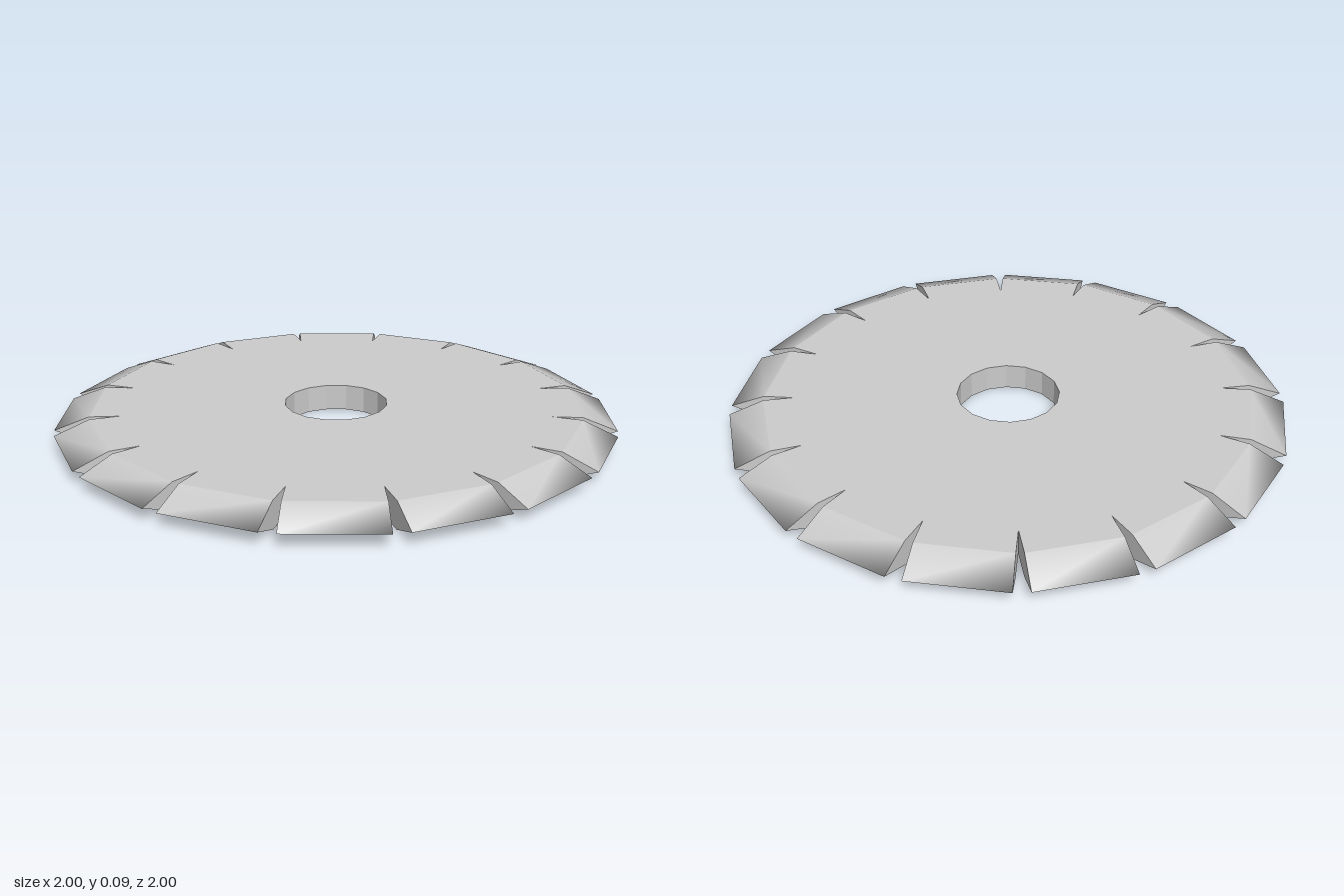
import * as THREE from 'three';

const TEETH = 16, H = 0.095, HOLE = 0.185;
const APEX = 0.77, EDGE = 0.877, RIM = 1, SLOT = 0.028; // slot tip, bevel start, rim radius, slot half width

// Point beside slot k at radius r; side is -1, 0 or +1
function at(k, r, side) {
  const a = (k / TEETH) * Math.PI * 2;
  const w = side * SLOT * (r - APEX) / (RIM - APEX);
  return new THREE.Vector2(r * Math.cos(a) - w * Math.sin(a), r * Math.sin(a) + w * Math.cos(a));
}

function meshFrom(positions, index, material, name) {
  const g = new THREE.BufferGeometry();
  g.setAttribute('position', new THREE.Float32BufferAttribute(positions, 3));
  g.setIndex(index);
  g.computeVertexNormals();
  const m = new THREE.Mesh(g, material);
  m.name = name;
  return m;
}

export function createModel() {
  const group = new THREE.Group();
  group.name = 'slottedDisc';
  const mat = new THREE.MeshStandardMaterial({ color: 0xcccccc });

  // Flat faces: notched outline with a round hole
  const outline = [], hole = [];
  for (let k = 0; k < TEETH; k++) {
    outline.push(at(k, EDGE, -1), at(k, APEX, 0), at(k, EDGE, 1));
    hole.push(at(k, HOLE, 0));
  }
  const shape = new THREE.Shape(outline);
  shape.holes.push(new THREE.Path(hole));
  for (const [name, y, turn] of [['topFace', H, -1], ['bottomFace', 0, 1]]) {
    const face = new THREE.Mesh(new THREE.ShapeGeometry(shape).rotateX(turn * Math.PI / 2), mat);
    face.position.y = y;
    face.name = name;
    group.add(face);
  }

  // Bevelled teeth (smooth over the tip) and flat slot walls
  const bevel = [], bevelIndex = [], wall = [], wallIndex = [];
  const put = (list, p, y) => list.push(p.x, y, -p.y);
  for (let k = 0; k < TEETH; k++) {
    const b = bevel.length / 3;
    for (const [r, y] of [[EDGE, H], [RIM, H / 2], [EDGE, 0]]) {
      put(bevel, at(k, r, 1), y);
      put(bevel, at(k + 1, r, -1), y);
    }
    for (const i of [b, b + 2]) bevelIndex.push(i, i + 2, i + 1, i + 1, i + 2, i + 3);

    for (const side of [1, -1]) {
      const w = wall.length / 3;
      const section = [[APEX, H], [APEX, 0], [EDGE, 0], [RIM, H / 2], [EDGE, H]];
      if (side < 0) section.reverse();
      for (const [r, y] of section) put(wall, at(k, r, side), y);
      for (let i = 1; i < 4; i++) wallIndex.push(w, w + i, w + i + 1);
    }
  }
  group.add(meshFrom(bevel, bevelIndex, mat, 'bevelledTeeth'));
  group.add(meshFrom(wall, wallIndex, mat, 'slotWalls'));

  // Faceted bore, seen from inside
  const bore = [], boreIndex = [];
  for (let k = 0; k < TEETH; k++) {
    const b = bore.length / 3;
    for (const y of [H, 0]) for (const j of [k, k + 1]) put(bore, at(j, HOLE, 0), y);
    boreIndex.push(b, b + 1, b + 2, b + 1, b + 3, b + 2);
  }
  group.add(meshFrom(bore, boreIndex, mat, 'centreBore'));
  return group;
}
